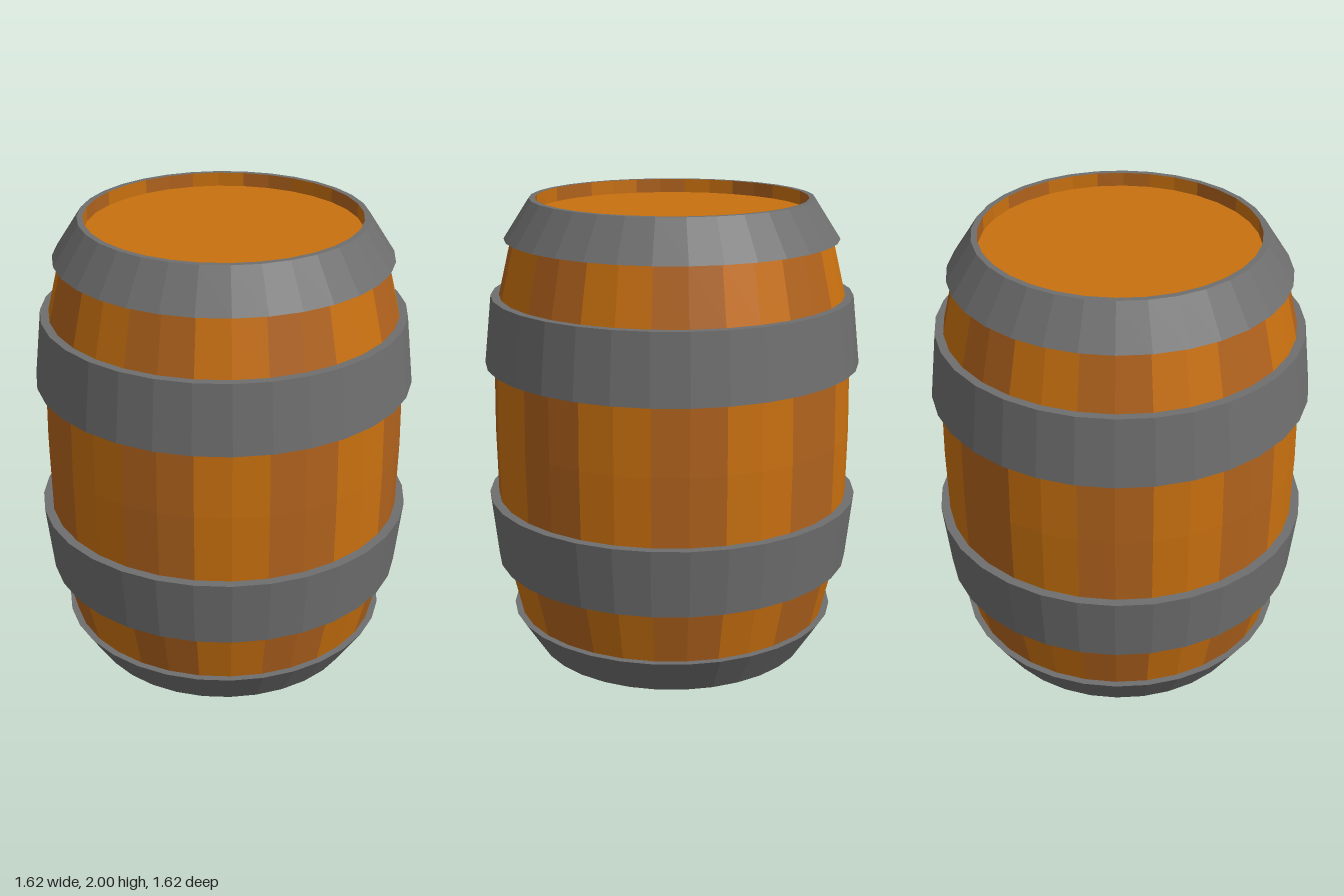
import * as THREE from 'three';

const SIDES = 32;
const STAVES = 16;

const material = (color) => new THREE.MeshStandardMaterial({ color, flatShading: true });
const points = (list) => list.map(([r, y]) => new THREE.Vector2(r, y));

export function createModel() {
  const barrel = new THREE.Group();
  barrel.name = 'barrel';
  const lightWood = material(0xc8700f);
  const darkWood = material(0xb0621c);
  const iron = material(0x6e6e6e);

  const add = (name, geometry, mat) => {
    const mesh = new THREE.Mesh(geometry, mat);
    mesh.name = name;
    barrel.add(mesh);
    return mesh;
  };

  // Bulging staves in two alternating tones, folded in at both rims
  const staveProfile = points([
    [0.58, 0.08], [0.58, 0], [0.685, 0.17], [0.742, 0.41], [0.77, 0.7], [0.775, 1],
    [0.77, 1.3], [0.742, 1.59], [0.685, 1.83], [0.58, 2], [0.58, 1.94],
  ]);
  const step = (Math.PI * 2) / STAVES;
  for (let i = 0; i < STAVES; i++) {
    const geometry = new THREE.LatheGeometry(staveProfile, SIDES / STAVES, i * step, step);
    add('stave', geometry, i % 2 ? darkWood : lightWood);
  }

  // Recessed round heads
  const head = (name, y, tilt) => {
    const mesh = add(name, new THREE.CircleGeometry(0.58, SIDES), lightWood);
    mesh.rotation.x = tilt;
    mesh.position.y = y;
  };
  head('topHead', 1.94, -Math.PI / 2);
  head('bottomHead', 0.08, Math.PI / 2);

  // Conical iron hoops, each with a closed cross-section, mirrored about mid-height
  const hoop = (name, section) => {
    const mirrored = section.map(([r, y]) => [r, 2 - y]).reverse();
    add(name + 'Top', new THREE.LatheGeometry(points(section), SIDES), iron);
    add(name + 'Bottom', new THREE.LatheGeometry(points(mirrored), SIDES), iron);
  };
  hoop('rimHoop', [[0.67, 1.83], [0.715, 1.83], [0.605, 2], [0.58, 2]]);
  hoop('bellyHoop', [[0.76, 1.295], [0.81, 1.295], [0.778, 1.59], [0.73, 1.59]]);

  return barrel;
}
